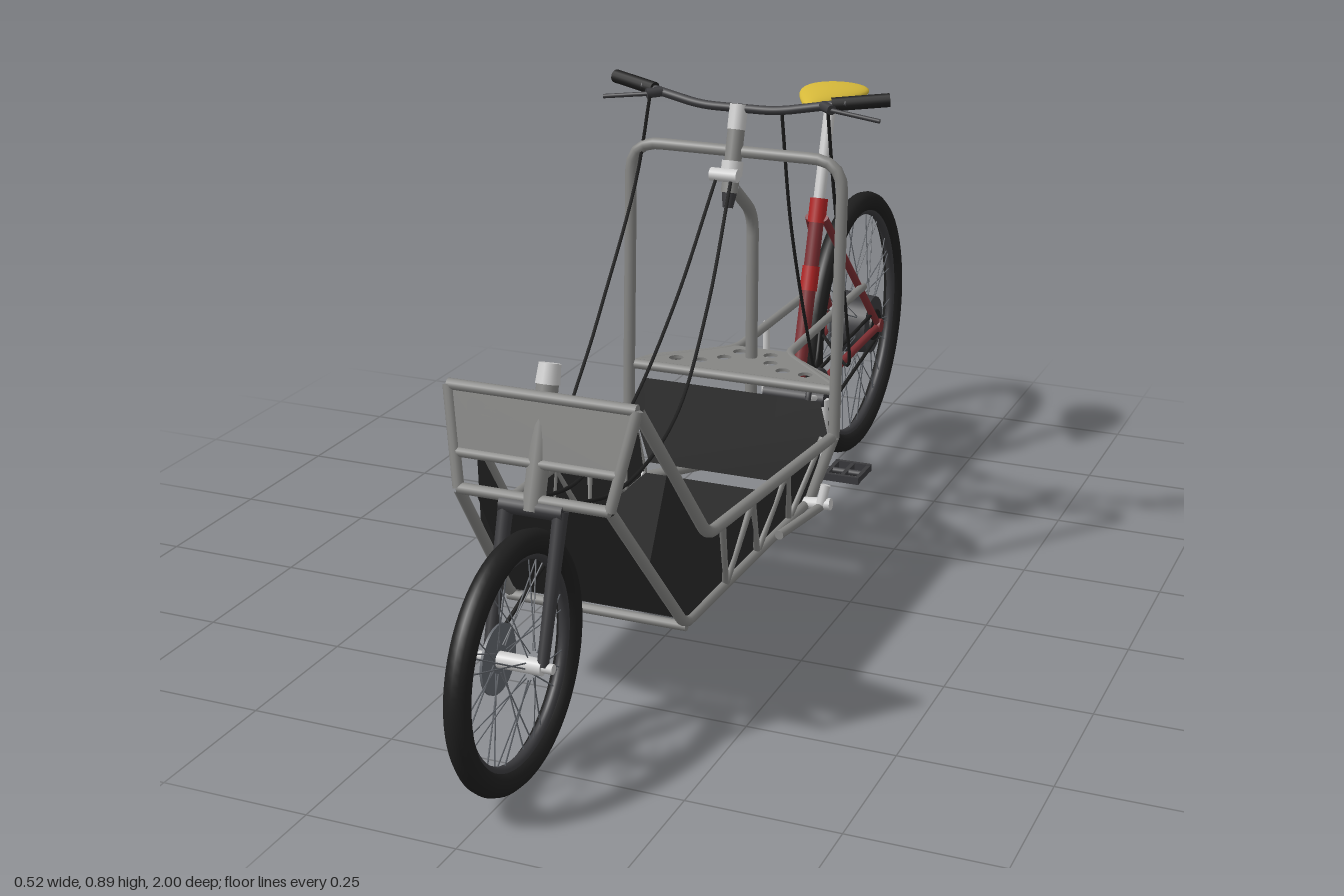
import * as THREE from 'three';

const mat = (name, color, side = THREE.FrontSide) => {
  const m = new THREE.MeshStandardMaterial({ color, side });
  m.name = name;
  return m;
};

export function createModel() {
  const M = {
    steel: mat('grey frame', 0x858583),
    rubber: mat('black rubber', 0x1e1e1e),
    panel: mat('dark panel', 0x2b2b2b, THREE.DoubleSide),
    dark: mat('dark metal', 0x3a3a3d),
    alloy: mat('light alloy', 0xcdcdcd),
    red: mat('dark red frame', 0x7c2e32),
    bright: mat('bright red', 0xb02424),
    saddle: mat('yellow saddle', 0xd6b93a),
    spoke: mat('spoke grey', 0x62666c),
  };
  const bike = new THREE.Group();
  bike.name = 'cargoBike';
  const V = (p) => new THREE.Vector3(...p);
  const flip = (p) => [-p[0], p[1], p[2]];

  const add = (name, geo, m, pos = [0, 0, 0], parent = bike) => {
    const mesh = new THREE.Mesh(geo, m);
    mesh.name = name;
    mesh.position.set(...pos);
    parent.add(mesh);
    return mesh;
  };
  // straight round bar between two points
  const rod = (name, m, a, b, r, r2 = r, sides = 12, parent = bike) => {
    const d = V(b).sub(V(a));
    const mesh = add(name, new THREE.CylinderGeometry(r2, r, d.length(), sides), m, [0, 0, 0], parent);
    mesh.position.copy(V(a)).addScaledVector(d, 0.5);
    mesh.quaternion.setFromUnitVectors(new THREE.Vector3(0, 1, 0), d.normalize());
    return mesh;
  };
  // bent tube with rounded corners
  const bent = (name, m, pts, r, bend = 0.03) => {
    const path = new THREE.CurvePath();
    let last = V(pts[0]);
    for (let i = 1; i < pts.length - 1; i++) {
      const c = V(pts[i]);
      const a = c.clone().add(V(pts[i - 1]).sub(c).setLength(bend));
      const b = c.clone().add(V(pts[i + 1]).sub(c).setLength(bend));
      path.add(new THREE.LineCurve3(last, a));
      path.add(new THREE.QuadraticBezierCurve3(a, c, b));
      last = b;
    }
    path.add(new THREE.LineCurve3(last, V(pts[pts.length - 1])));
    return add(name, new THREE.TubeGeometry(path, 70, r, 12), m);
  };
  const cable = (pts, name = 'cable') =>
    add(name, new THREE.TubeGeometry(new THREE.CatmullRomCurve3(pts.map(V)), 40, 0.0032, 6), M.rubber);
  const both = (fn) => { fn((p) => p); fn(flip); };
  // flat polygon panel
  const sheet = (name, pts) => {
    const g = new THREE.BufferGeometry().setFromPoints(pts.map(V));
    const idx = [];
    for (let i = 1; i < pts.length - 1; i++) idx.push(0, i, i + 1);
    g.setIndex(idx);
    g.computeVertexNormals();
    return add(name, g, M.panel);
  };
  // plate with round holes
  const plate = (name, outline, holes, r) => {
    const s = new THREE.Shape(outline.map((p) => new THREE.Vector2(...p)));
    for (const [x, y] of holes) s.holes.push(new THREE.Path().absarc(x, y, r, 0, Math.PI * 2, true));
    return add(name, new THREE.ExtrudeGeometry(s, { depth: 0.006, bevelEnabled: false, curveSegments: 20 }), M.steel);
  };

  // wheels: tyre, rim, hub and crossed spokes
  const wheel = (name, y, z, R, n) => {
    const g = new THREE.Group();
    g.name = name;
    g.position.set(0, y, z);
    bike.add(g);
    const ring = (nm, rad, r, m) => { add(nm, new THREE.TorusGeometry(rad, r, 12, 72), m, [0, 0, 0], g).rotation.y = Math.PI / 2; };
    ring('tyre', R - 0.02, 0.02, M.rubber);
    ring('rim', R - 0.038, 0.009, M.dark);
    rod('hub', M.alloy, [-0.045, 0, 0], [0.045, 0, 0], 0.013, 0.013, 16, g);
    for (let i = 0; i < n; i++) {
      const a = (i / n) * Math.PI * 2, b = a + (i % 4 < 2 ? 0.28 : -0.28), x = i % 2 ? 0.026 : -0.026;
      rod('spoke', M.spoke, [x, Math.cos(a) * 0.022, Math.sin(a) * 0.022],
        [0, Math.cos(b) * (R - 0.04), Math.sin(b) * (R - 0.04)], 0.0012, 0.0012, 4, g);
    }
    return g;
  };
  const front = wheel('frontWheel', 0.203, 0.798, 0.202, 32);
  const rear = wheel('rearWheel', 0.27, -0.73, 0.27, 36);
  rod('frontBrakeDisc', M.spoke, [-0.032, 0, 0], [-0.028, 0, 0], 0.055, 0.055, 32, front);
  rod('rearBrakeDisc', M.spoke, [-0.041, 0, 0], [-0.036, 0, 0], 0.055, 0.055, 32, rear);
  rod('hubGear', M.dark, [-0.03, 0, 0], [0.04, 0, 0], 0.064, 0.058, 32, rear);
  rod('sprocket', M.rubber, [0.041, 0, 0], [0.046, 0, 0], 0.032, 0.032, 24, rear);

  // front fork and head tube
  const steer = (y) => [0, y, 0.8 - 0.326 * (y - 0.205)];
  both((s) => {
    const top = steer(0.425);
    rod('forkLeg', M.dark, s([0.045, 0.205, 0.8]), s([0.045, 0.425, top[2]]), 0.009, 0.012);
    rod('axleEnd', M.alloy, s([0.035, 0.203, 0.798]), s([0.062, 0.203, 0.798]), 0.008);
  });
  rod('forkCrown', M.dark, [-0.052, 0.425, 0.728], [0.052, 0.425, 0.728], 0.015);
  rod('headTube', M.steel, steer(0.42), steer(0.605), 0.017, 0.017, 20);
  rod('headCap', M.alloy, steer(0.6), steer(0.63), 0.019, 0.017, 20);
  rod('steeringArm', M.alloy, [-0.045, 0.425, 0.71], [0.045, 0.425, 0.71], 0.006);

  // perforated nose rack
  const rackZ = (y) => 0.693 - 0.234 * (y - 0.585);
  const bar = (y, w, r) => rod('rackBar', M.steel, [-w, y, rackZ(y)], [w, y, rackZ(y)], r);
  bar(0.587, 0.155, 0.009);
  bar(0.49, 0.138, 0.008);
  bar(0.437, 0.125, 0.009);
  const holes = [];
  for (const x of [-0.105, -0.057, 0.057, 0.105]) for (const y of [-0.068, -0.028]) holes.push([x, y]);
  const rack = plate('rackPlate', [[-0.137, -0.097], [0.137, -0.097], [0.153, 0], [-0.153, 0]], holes, 0.0155);
  rack.position.set(0, 0.587, 0.69);
  rack.rotation.x = -Math.atan(0.234);

  // cargo box frame, both sides
  both((s) => {
    rod('rackSide', M.steel, s([0.155, 0.587, 0.693]), s([0.125, 0.437, 0.728]), 0.009);
    bent('upperRail', M.steel, [[0.155, 0.587, 0.693], [0.175, 0.31, 0.48], [0.195, 0.29, -0.04]].map(s), 0.01, 0.025);
    bent('lowerRail', M.steel, [[0.125, 0.437, 0.728], [0.153, 0.17, 0.52], [0.16, 0.17, -0.02]].map(s), 0.009, 0.02);
    const truss = [[1, 0.42], [0, 0.36], [1, 0.3], [0, 0.22], [1, 0.15], [0, 0.07], [1, -0.01]]
      .map(([up, z]) => s(up ? [0.189 - z * 0.03, 0.3, z] : [0.157, 0.17, z]));
    for (let i = 0; i < truss.length - 1; i++) rod('truss', M.steel, truss[i], truss[i + 1], 0.006);
    rod('rearCorner', M.steel, s([0.16, 0.165, -0.02]), s([0.198, 0.29, -0.045]), 0.01);
    // side stand folded along the box
    rod('standBar', M.steel, s([0.178, 0.185, 0.17]), s([0.19, 0.17, -0.02]), 0.008);
    rod('standPivot', M.alloy, s([0.155, 0.172, -0.01]), s([0.207, 0.177, -0.01]), 0.011);
    rod('standLug', M.alloy, s([0.19, 0.175, -0.005]), s([0.195, 0.21, -0.015]), 0.009);
    sheet('sidePanel', [[0.153, 0.178, 0.515], [0.156, 0.178, -0.03], [0.187, 0.295, -0.035],
      [0.172, 0.312, 0.475], [0.162, 0.465, 0.6], [0.142, 0.31, 0.63]].map(s));
  });
  for (const z of [0.52, 0.34, 0.16, -0.02]) rod('floorBar', M.steel, [-0.157, 0.167, z], [0.157, 0.167, z], 0.008);
  sheet('floorPanel', [[-0.152, 0.178, 0.52], [0.152, 0.178, 0.52], [0.155, 0.178, -0.02], [-0.155, 0.178, -0.02]]);
  sheet('frontPanel', [[-0.148, 0.178, 0.518], [0.148, 0.178, 0.518], [0.115, 0.43, 0.7], [-0.115, 0.43, 0.7]]);
  sheet('backPanel', [[-0.152, 0.195, -0.03], [0.152, 0.195, -0.03], [0.188, 0.295, -0.04], [0.17, 0.35, -0.05], [-0.17, 0.35, -0.05], [-0.188, 0.295, -0.04]]);

  // tall hoop, steering column and its stay
  bent('hoop', M.steel, [[-0.198, 0.29, -0.045], [-0.198, 0.783, -0.07], [0.198, 0.783, -0.07], [0.198, 0.29, -0.045]], 0.0105, 0.055);
  const col = (y) => [0, y, -0.035 - 0.3 * (y - 0.69)];
  rod('steeringColumn', M.steel, col(0.715), col(0.86), 0.015, 0.015, 20);
  rod('columnTip', M.dark, col(0.69), col(0.72), 0.009, 0.014, 20);
  rod('columnClamp', M.alloy, col(0.743), col(0.768), 0.019, 0.019, 20);
  rod('cableHorn', M.alloy, [-0.025, 0.752, -0.02], [0.025, 0.752, -0.02], 0.012);
  rod('stemClamp', M.alloy, col(0.82), col(0.862), 0.016, 0.016, 20);
  bent('columnStay', M.steel, [[0, 0.72, -0.06], [0, 0.65, -0.155], [0, 0.375, -0.15], [0, 0.17, -0.145]], 0.011, 0.04);

  // handlebar, grips and levers
  bent('handlebar', M.steel, [[-0.19, 0.876, -0.105], [-0.07, 0.856, -0.085], [0.07, 0.856, -0.085], [0.19, 0.876, -0.105]], 0.008, 0.03)
    .material = M.dark;
  both((s) => {
    rod('grip', M.rubber, s([0.165, 0.873, -0.1]), s([0.257, 0.881, -0.137]), 0.012);
    rod('leverMount', M.dark, s([0.15, 0.87, -0.098]), s([0.172, 0.868, -0.08]), 0.009);
    rod('brakeLever', M.dark, s([0.165, 0.868, -0.082]), s([0.257, 0.855, -0.085]), 0.004);
  });

  // perforated deck and mid frame
  const deck = plate('deckPlate', [[-0.192, 0.06], [0.192, 0.06], [0.175, 0.1], [0.05, 0.2], [-0.05, 0.2], [-0.175, 0.1]],
    [[-0.125, 0.095], [-0.08, 0.1], [-0.045, 0.13], [0.045, 0.13], [0.08, 0.1], [0.125, 0.095], [-0.03, 0.17], [0.03, 0.17]], 0.013);
  deck.rotation.x = -Math.PI / 2;
  deck.position.y = 0.374;
  rod('deckBar', M.steel, [-0.198, 0.373, -0.055], [0.198, 0.373, -0.055], 0.009);
  both((s) => {
    bent('deckTube', M.steel, [[0.185, 0.373, -0.07], [0.05, 0.373, -0.2], [0.043, 0.375, -0.65]].map(s), 0.0085, 0.03);
    bent('bottomTube', M.steel, [[0.16, 0.168, -0.02], [0.04, 0.17, -0.17], [0.025, 0.18, -0.3], [0.02, 0.225, -0.385]].map(s), 0.01, 0.03);
    // red rear triangle
    rod('seatStay', M.red, s([0.016, 0.555, -0.49]), s([0.05, 0.27, -0.73]), 0.0075);
    rod('chainStay', M.red, s([0.025, 0.228, -0.385]), s([0.05, 0.268, -0.73]), 0.008);
    rod('dropout', M.red, s([0.046, 0.27, -0.73]), s([0.058, 0.27, -0.73]), 0.014);
  });
  rod('crossBrace', M.steel, [-0.06, 0.17, -0.145], [0.06, 0.17, -0.145], 0.008);
  rod('seatTube', M.red, [0, 0.225, -0.385], [0, 0.58, -0.5], 0.0145);
  rod('seatCollar', M.bright, [0, 0.545, -0.489], [0, 0.59, -0.503], 0.0175);
  rod('lowerCollar', M.bright, [0, 0.42, -0.448], [0, 0.465, -0.463], 0.017);
  rod('seatPost', M.alloy, [0, 0.585, -0.502], [0, 0.77, -0.562], 0.0115);

  // saddle: ellipsoid widened to the rear, narrowed to the nose
  const sg = new THREE.SphereGeometry(1, 32, 20);
  const p = sg.attributes.position;
  for (let i = 0; i < p.count; i++) {
    const t = p.getZ(i), y = p.getY(i);
    p.setXYZ(i, p.getX(i) * 0.057 * (1 - 0.6 * t), y * (y > 0 ? 0.015 : 0.02 - 0.006 * t), t * 0.109);
  }
  sg.computeVertexNormals();
  add('saddle', sg, M.saddle, [0, 0.784, -0.541]);

  // drivetrain
  const bb = [0.228, -0.382];
  rod('crankAxle', M.dark, [-0.062, ...bb], [0.062, ...bb], 0.016);
  add('chainring', new THREE.TorusGeometry(0.054, 0.006, 8, 40), M.dark, [0.045, ...bb]).rotation.y = Math.PI / 2;
  for (let i = 0; i < 5; i++) {
    const a = (i / 5) * Math.PI * 2;
    rod('chainringArm', M.alloy, [0.045, ...bb], [0.045, bb[0] + Math.cos(a) * 0.052, bb[1] + Math.sin(a) * 0.052], 0.006);
  }
  rod('leftCrank', M.alloy, [0.06, ...bb], [0.06, 0.08, -0.382], 0.009, 0.006);
  rod('rightCrank', M.alloy, [-0.06, ...bb], [-0.06, 0.37, -0.382], 0.009, 0.006);
  rod('pedalAxle', M.dark, [0.06, 0.085, -0.382], [0.145, 0.085, -0.382], 0.006);
  for (const z of [-0.418, -0.346]) add('pedalRail', new THREE.BoxGeometry(0.072, 0.014, 0.008), M.dark, [0.109, 0.085, z]);
  for (const x of [0.077, 0.109, 0.141]) add('pedalBar', new THREE.BoxGeometry(0.008, 0.012, 0.072), M.dark, [x, 0.085, -0.382]);
  for (const k of [1, -1]) rod('chain', M.rubber, [0.045, bb[0] + k * 0.055, bb[1]], [0.045, 0.27 + k * 0.032, -0.73], 0.0035, 0.0035, 6);

  // steering and brake cables
  both((s) => cable([[0.014, 0.745, -0.015], [0.03, 0.56, 0.13], [0.042, 0.42, 0.3], [0.038, 0.375, 0.5], [0.03, 0.42, 0.7]].map(s), 'steeringCable'));
  cable([[-0.165, 0.868, -0.08], [-0.18, 0.72, -0.05], [-0.19, 0.5, 0.1], [-0.185, 0.3, 0.28], [-0.12, 0.2, 0.4], [-0.05, 0.27, 0.6], [-0.045, 0.22, 0.78]], 'frontBrakeCable');
  cable([[0.165, 0.868, -0.08], [0.162, 0.7, -0.13], [0.165, 0.45, -0.2], [0.14, 0.34, -0.28], [0.06, 0.36, -0.37]], 'rearBrakeCable');
  cable([[0.08, 0.852, -0.085], [0.085, 0.65, -0.12], [0.09, 0.42, -0.2], [0.07, 0.32, -0.3], [0.05, 0.37, -0.38]], 'gearCable');
  return bike;
}
